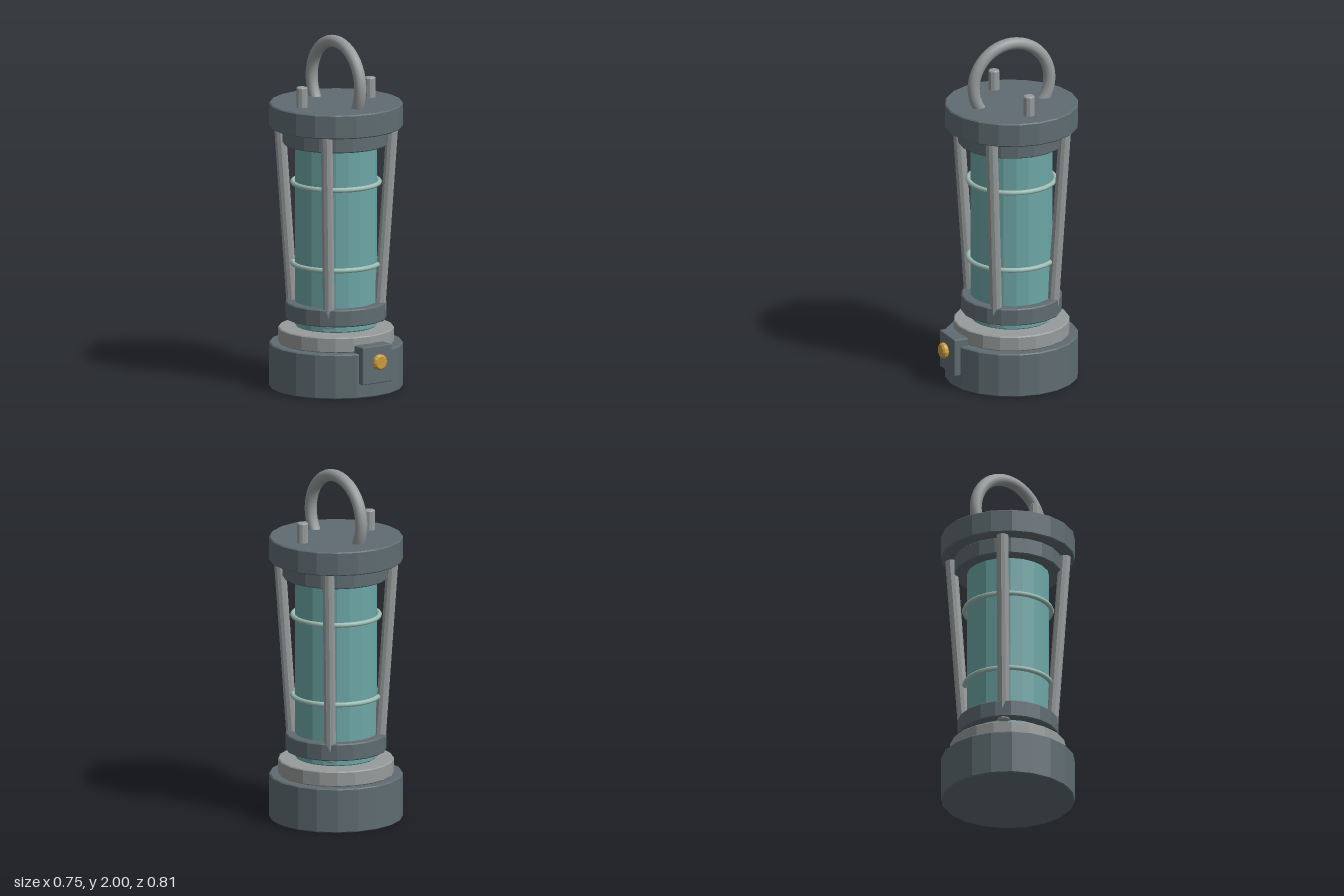
import * as THREE from 'three';
import { toCreasedNormals } from 'three/addons/utils/BufferGeometryUtils.js';
import { RoundedBoxGeometry } from 'three/addons/geometries/RoundedBoxGeometry.js';

const paint = (name, color) => {
  const m = new THREE.MeshStandardMaterial({ color });
  m.name = name;
  return m;
};

// Solid drum with a small bevel on both rims and faceted sides
function drum(radius, height, sides, bevel = 0.006) {
  const h = height / 2;
  const profile = [
    [0, -h], [radius - bevel, -h], [radius, -h + bevel],
    [radius, h - bevel], [radius - bevel, h], [0, h],
  ].map(([x, y]) => new THREE.Vector2(x, y));
  return toCreasedNormals(new THREE.LatheGeometry(profile, sides), 0.2);
}

export function createModel() {
  const dark = paint('dark metal', 0x5f6c71);
  const grey = paint('grey metal', 0x979b9b);
  const glass = paint('teal glass', 0x6da6a6);
  const pale = paint('pale wire', 0x9dbdb5);
  const gold = paint('gold', 0xc99c3c);

  const model = new THREE.Group();
  model.name = 'lantern';
  // The lantern axis sits slightly behind centre to balance the switch
  const body = new THREE.Group();
  body.name = 'body';
  body.position.z = -0.032;
  model.add(body);

  const add = (parent, name, geometry, material, x = 0, y = 0, z = 0) => {
    const mesh = new THREE.Mesh(geometry, material);
    mesh.name = name;
    mesh.position.set(x, y, z);
    parent.add(mesh);
    return mesh;
  };

  // Stacked round parts: name, radius, bottom, top, material
  const stack = [
    ['base', 0.375, 0, 0.253, dark],
    ['baseCollar', 0.325, 0.253, 0.34, grey],
    ['glassTube', 0.23, 0.348, 1.42, glass],
    ['lowerRing', 0.283, 0.39, 0.488, dark],
    ['upperRing', 0.3, 1.388, 1.486, dark],
    ['cap', 0.375, 1.484, 1.62, dark],
  ];
  for (const [name, radius, bottom, top, material] of stack) {
    add(body, name, drum(radius, top - bottom, 20), material, 0, (bottom + top) / 2);
  }

  // Wire hoops around the glass
  for (const y of [0.706, 1.166]) {
    const hoop = add(body, 'wireHoop', new THREE.TorusGeometry(0.243, 0.014, 8, 32), pale, 0, y);
    hoop.rotation.x = Math.PI / 2;
  }

  // Four guard rods leaning outwards towards the cap
  const up = new THREE.Vector3(0, 1, 0);
  for (const sx of [-1, 1]) {
    for (const sz of [-1, 1]) {
      const foot = new THREE.Vector3(sx * 0.171, 0.38, sz * 0.171);
      const head = new THREE.Vector3(sx * 0.226, 1.5, sz * 0.226);
      const axis = head.clone().sub(foot);
      const rod = add(body, 'guardRod', drum(0.034, axis.length(), 10), grey);
      rod.position.copy(foot).add(head).multiplyScalar(0.5);
      rod.quaternion.setFromUnitVectors(up, axis.normalize());
    }
  }

  // Carrying loop sunk into the cap
  const loop = add(body, 'carryLoop', new THREE.TorusGeometry(0.233, 0.034, 14, 48), grey, 0, 1.733);
  loop.rotation.y = Math.PI / 2;

  // Pegs on the cap
  for (const side of [-1, 1]) {
    add(body, 'capPeg', drum(0.032, 0.14, 10), grey, side * 0.235, 1.664);
  }

  // Switch plate and its knob
  add(model, 'switchPlate', new RoundedBoxGeometry(0.2, 0.215, 0.085, 1, 0.006), dark, 0, 0.188, 0.3225);
  const knob = add(model, 'switchKnob', drum(0.045, 0.036, 12, 0.01), gold, 0, 0.206, 0.387);
  knob.rotation.x = Math.PI / 2;

  return model;
}
